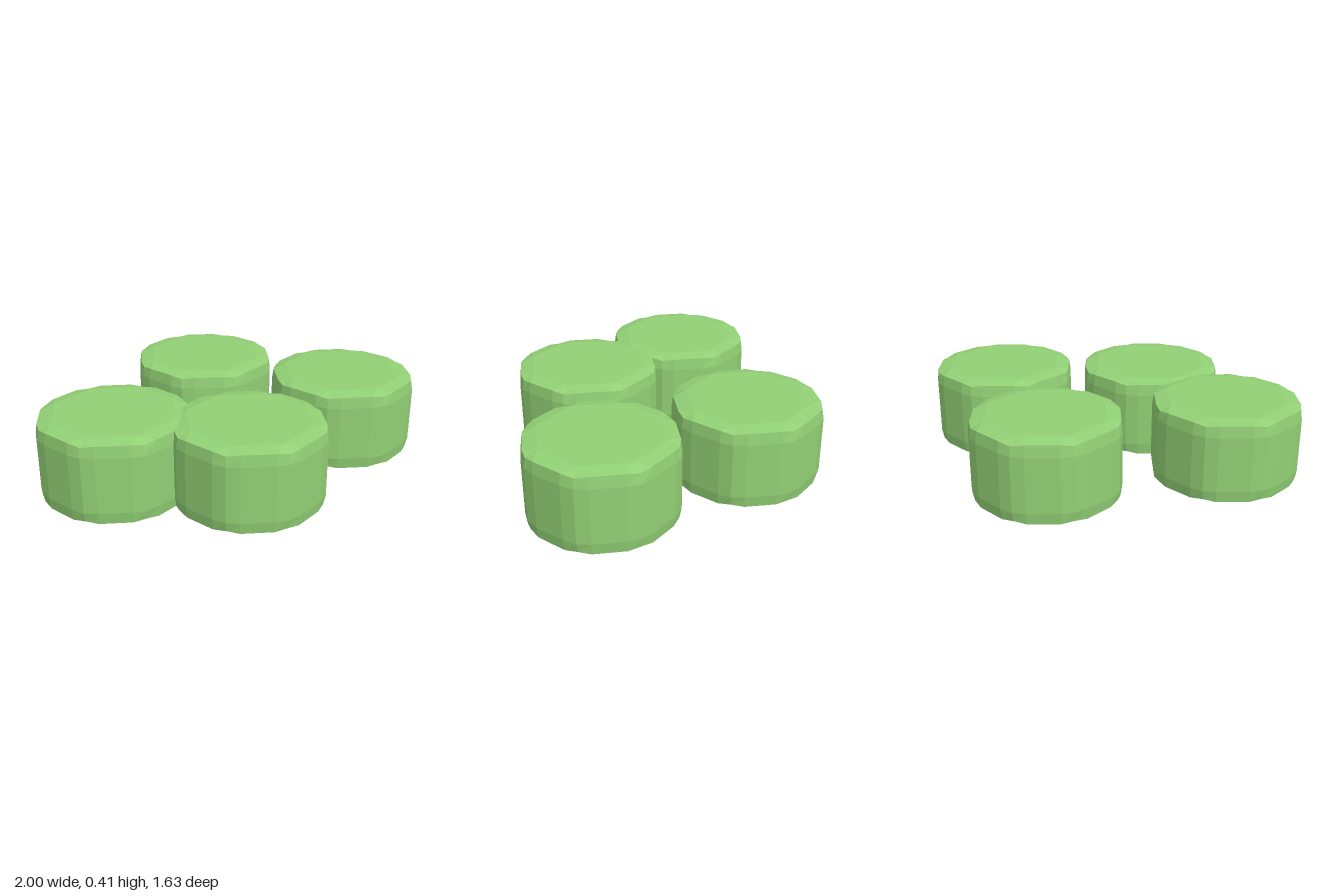
import * as THREE from 'three';

const SIDES = 8;
const HEIGHT = 0.415;

// Rings of the upper half: [radius beside corner, radius at corner, half angle of corner, y beside corner, y at corner]
const UPPER = [
  [0.366, 0.373, 0.176, 0.345, 0.345],
  [0.358, 0.363, 0.176, 0.401, 0.392],
  [0.305, 0.305, 0, HEIGHT, HEIGHT],
];
// The lower half mirrors the upper one
const LOWER = UPPER.map(([rs, rc, s, ys, yc]) => [rs, rc, s, HEIGHT - ys, HEIGHT - yc]).reverse();

// Three points per corner: one before it, the corner itself, one after it
function ringPoints([rSide, rCorner, spread, ySide, yCorner]) {
  const points = [];
  for (let i = 0; i < SIDES; i++) {
    for (const k of [-1, 0, 1]) {
      const a = (i / SIDES) * Math.PI * 2 + k * spread;
      const r = k ? rSide : rCorner;
      points.push(new THREE.Vector3(r * Math.sin(a), k ? ySide : yCorner, r * Math.cos(a)));
    }
  }
  return points;
}

// Octagonal disc with rounded corners and bevelled rims
function discGeometry() {
  const rings = [...LOWER, ...UPPER].map(ringPoints);
  const positions = [];
  const tri = (a, b, c) => {
    if (a.distanceTo(b) < 1e-6 || b.distanceTo(c) < 1e-6 || c.distanceTo(a) < 1e-6) return;
    for (const p of [a, b, c]) positions.push(p.x, p.y, p.z);
  };
  const count = SIDES * 3;
  const bottom = new THREE.Vector3(0, 0, 0);
  const top = new THREE.Vector3(0, HEIGHT, 0);
  const first = rings[0];
  const last = rings[rings.length - 1];
  for (let i = 0; i < count; i++) {
    const j = (i + 1) % count;
    for (let r = 0; r < rings.length - 1; r++) {
      const lo = rings[r];
      const hi = rings[r + 1];
      tri(lo[i], lo[j], hi[j]);
      tri(lo[i], hi[j], hi[i]);
    }
    tri(bottom, first[j], first[i]);
    tri(top, last[i], last[j]);
  }
  const geometry = new THREE.BufferGeometry();
  geometry.setAttribute('position', new THREE.Float32BufferAttribute(positions, 3));
  geometry.computeVertexNormals();
  return geometry;
}

export function createModel() {
  const model = new THREE.Group();
  model.name = 'discs';
  const geometry = discGeometry();
  const material = new THREE.MeshStandardMaterial({ color: 0x92d075, flatShading: true });

  // Four discs lying flat, the front and right-hand ones touching
  const places = [
    ['backDisc', 0.104, -0.445],
    ['rightDisc', -0.627, 0.073],
    ['frontDisc', -0.105, 0.44],
    ['leftDisc', 0.627, 0.128],
  ];
  for (const [name, x, z] of places) {
    const disc = new THREE.Mesh(geometry, material);
    disc.name = name;
    disc.position.set(x, 0, z);
    model.add(disc);
  }
  return model;
}
